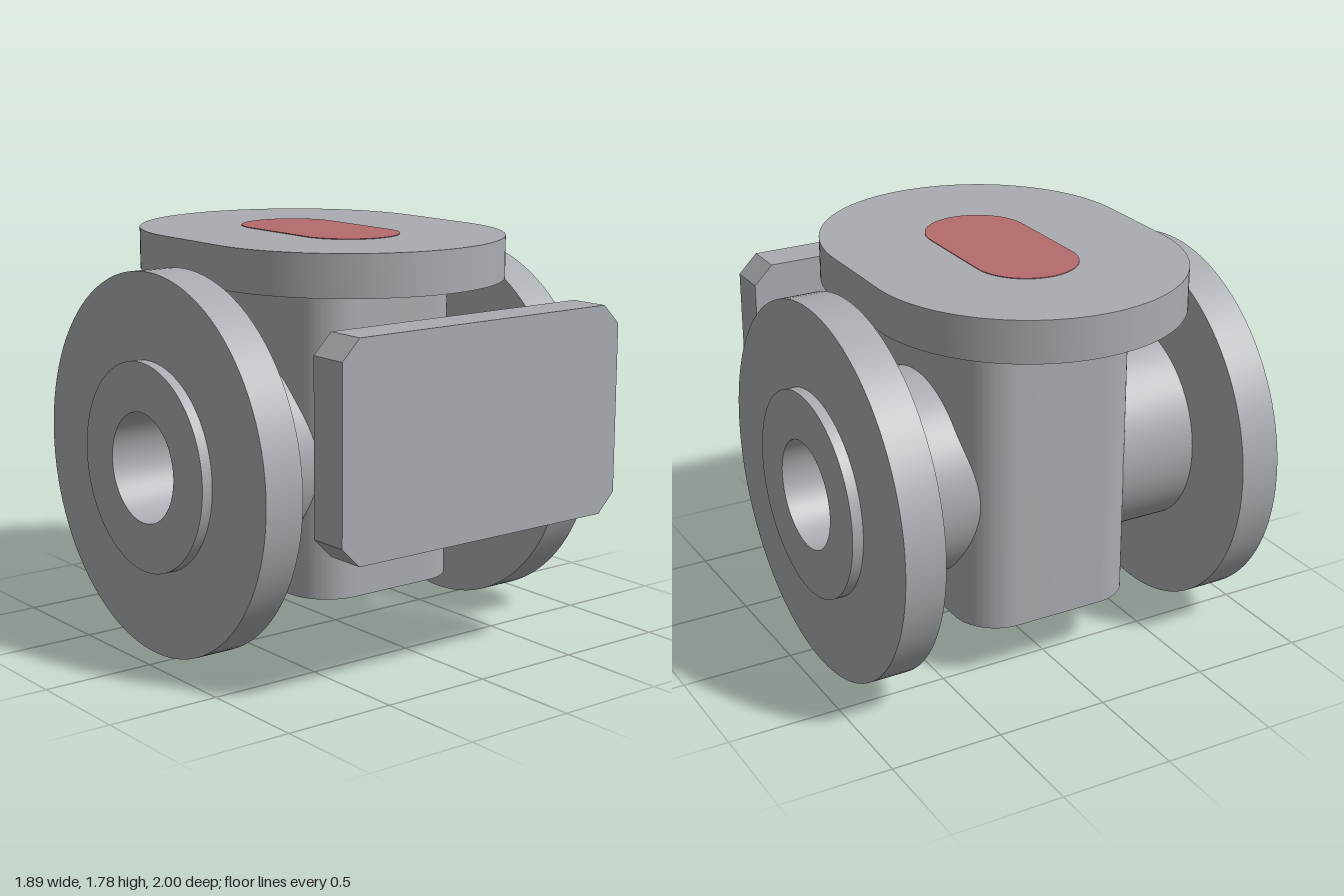
import * as THREE from 'three';
import { toCreasedNormals } from 'three/addons/utils/BufferGeometryUtils.js';

const AXIS_Y = 0.83, AXIS_Z = -0.115;   // centre line of the through bore
const BORE = 0.24, PIPE = 0.455;
const BODY_X = 0.405, BODY_Z = 0.52, CORNER = 0.2;
const BODY_LOW = 0.25, BODY_HIGH = 1.6;

// Extrude a shape and lay it flat, so its depth runs up from y
function slab(shape, y, depth) {
  const g = new THREE.ExtrudeGeometry(shape, { depth, bevelEnabled: false, curveSegments: 40 });
  g.rotateX(-Math.PI / 2);
  g.translate(0, y, AXIS_Z);
  return toCreasedNormals(g, 0.5);
}

// Slot outline: two half circles joined by straight sides
function slotShape(radius, half) {
  const s = new THREE.Shape();
  s.absarc(0, half, radius, 0, Math.PI, false);
  s.absarc(0, -half, radius, Math.PI, Math.PI * 2, false);
  s.closePath();
  return s;
}

export function createModel() {
  const model = new THREE.Group();
  model.name = 'valveBody';
  const metal = new THREE.MeshStandardMaterial({ color: 0xa9acb1 });
  metal.name = 'grey metal';
  const red = new THREE.MeshStandardMaterial({ color: 0xb56c6c });
  red.name = 'muted red';

  const add = (name, geometry, material = metal) => {
    const mesh = new THREE.Mesh(geometry, material);
    mesh.name = name;
    model.add(mesh);
    return mesh;
  };

  // Middle of the body, pierced from side to side by the bore
  const flat = BODY_Z - CORNER;
  const side = new THREE.Shape();
  side.moveTo(-flat, BODY_LOW);
  side.lineTo(flat, BODY_LOW);
  side.lineTo(flat, BODY_HIGH);
  side.lineTo(-flat, BODY_HIGH);
  side.closePath();
  const hole = new THREE.Path();
  hole.absarc(0, AXIS_Y, BORE, 0, Math.PI * 2, true);
  side.holes.push(hole);
  const middle = new THREE.ExtrudeGeometry(side, { depth: BODY_X * 2, bevelEnabled: false, curveSegments: 64 });
  middle.translate(0, 0, -BODY_X);
  middle.rotateY(Math.PI / 2);
  middle.translate(0, 0, AXIS_Z);
  add('bodyMiddle', toCreasedNormals(middle, 0.5));

  // Front and back of the body, with rounded vertical corners
  for (const [name, turn] of [['bodyBack', 0], ['bodyFront', Math.PI]]) {
    const end = new THREE.Shape();
    const cx = BODY_X - CORNER;
    end.moveTo(-BODY_X, flat);
    end.lineTo(BODY_X, flat);
    end.absarc(cx, flat, CORNER, 0, Math.PI / 2, false);
    end.absarc(-cx, flat, CORNER, Math.PI / 2, Math.PI, false);
    const g = new THREE.ExtrudeGeometry(end, { depth: BODY_HIGH - BODY_LOW, bevelEnabled: false, curveSegments: 16 });
    g.rotateX(-Math.PI / 2);
    g.rotateY(turn);
    g.translate(0, BODY_LOW, AXIS_Z);
    add(name, toCreasedNormals(g, 0.5));
  }

  // Side pipes with flange, raised face and bore
  const profile = [
    [BORE, BODY_X], [PIPE, 0.15], [PIPE, 0.715], [0.83, 0.715], [0.83, 0.895],
    [PIPE, 0.895], [PIPE, 0.943], [BORE, 0.943], [BORE, BODY_X],
  ].map(([r, h]) => new THREE.Vector2(r, h));
  const flange = toCreasedNormals(new THREE.LatheGeometry(profile, 96), 0.5);
  for (const [name, s] of [['leftFlange', 1], ['rightFlange', -1]]) {
    const mesh = add(name, flange);
    mesh.rotation.z = -s * Math.PI / 2;
    mesh.position.set(0, AXIS_Y, AXIS_Z);
  }

  // Top cover and its red slot marking
  add('topCover', slab(slotShape(0.68, 0.205), 1.592, 0.183));
  add('topMarking', slab(slotShape(0.225, 0.205), 1.772, 0.006), red);

  // Front branch pipe
  const branch = new THREE.CylinderGeometry(0.28, 0.28, 0.46, 64);
  branch.rotateX(Math.PI / 2);
  branch.translate(0, 1.06, 0.6);
  add('frontPipe', branch);

  // Front plate with chamfered corners
  const w = 0.74, h = 0.453, c = 0.085;
  const plate = new THREE.Shape([
    [w - c, -h], [w, -h + c], [w, h - c], [w - c, h],
    [-w + c, h], [-w, h - c], [-w, -h + c], [-w + c, -h],
  ].map(([x, y]) => new THREE.Vector2(x, y)));
  const plateGeometry = new THREE.ExtrudeGeometry(plate, { depth: 0.18, bevelEnabled: false });
  plateGeometry.translate(0, 1.058, 0.82);
  add('frontPlate', plateGeometry);

  return model;
}
